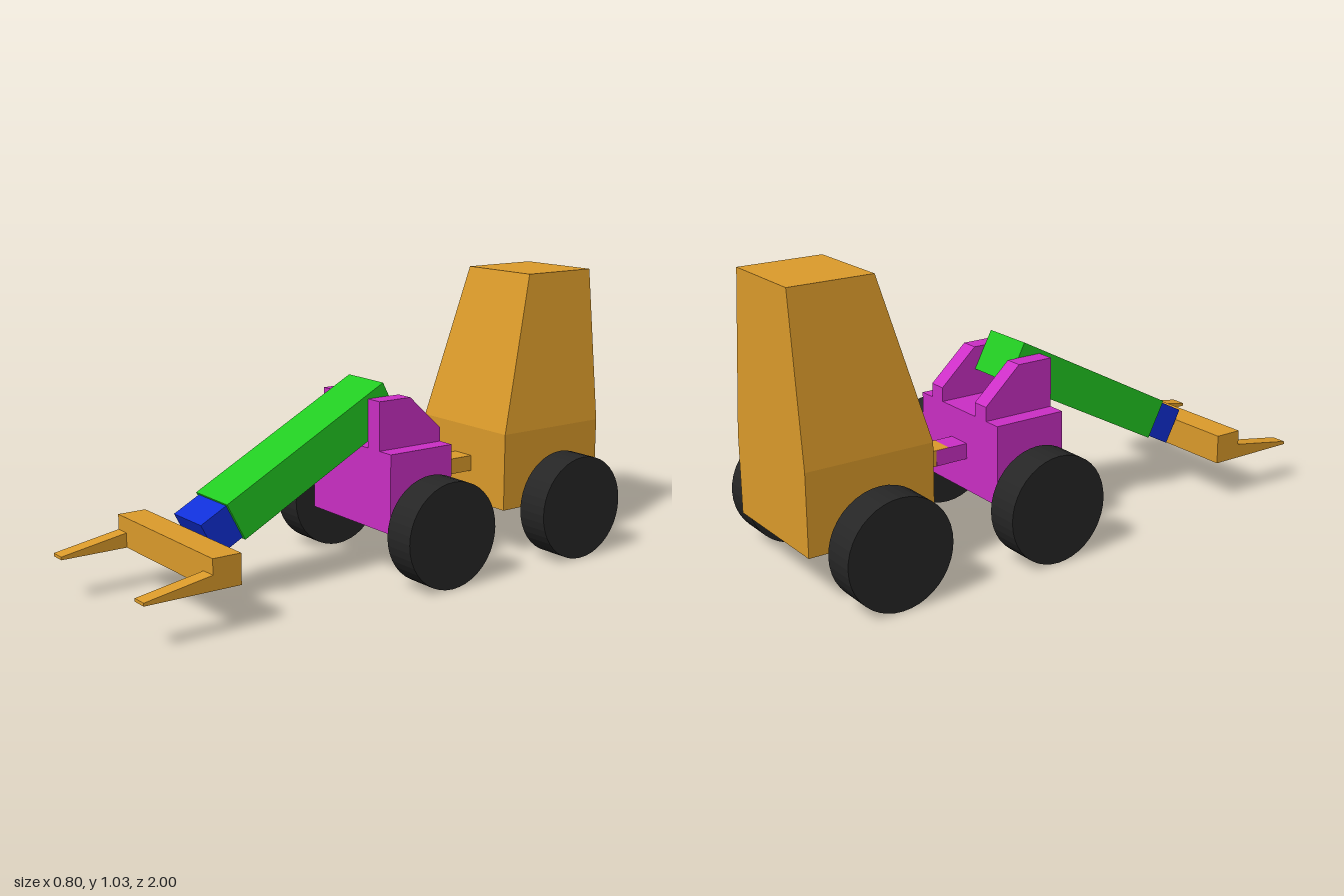
import * as THREE from 'three';

const paint = (color) => new THREE.MeshStandardMaterial({ color, flatShading: true });

export function createModel() {
  const model = new THREE.Group();
  model.name = 'forkTractor';
  const orange = paint(0xdd9c2b), pink = paint(0xcc2fc6), green = paint(0x22cc22);
  const blue = paint(0x1030d8), rubber = paint(0x262626);

  const add = (name, geometry, material, parent = model) => {
    const mesh = new THREE.Mesh(geometry, material);
    mesh.name = name;
    parent.add(mesh);
    return mesh;
  };

  // Box given by its half width in x and its y and z limits
  const box = (name, hx, [y0, y1], [z0, z1], material, parent) => {
    const mesh = add(name, new THREE.BoxGeometry(2 * hx, y1 - y0, z1 - z0), material, parent);
    mesh.position.set(0, (y0 + y1) / 2, (z0 + z1) / 2);
  };

  // Side profile of [z, y] points, extruded from x0 to x1
  const profile = (name, points, x0, x1, material) => {
    const shape = new THREE.Shape(points.map(([z, y]) => new THREE.Vector2(z, y)));
    const geometry = new THREE.ExtrudeGeometry(shape, { depth: x1 - x0, bevelEnabled: false });
    geometry.rotateY(-Math.PI / 2).translate(x1, 0, 0);
    add(name, geometry, material);
  };

  // Cab: straight lower part, tapered upper part with an upright back
  const cab = new THREE.BoxGeometry(2, 2, 2, 1, 2, 1).toNonIndexed();
  const rows = [
    { y: 0.18, x: 0.23, front: -0.535 },
    { y: 0.465, x: 0.23, front: -0.535 },
    { y: 1.033, x: 0.166, front: -0.695 },
  ];
  const p = cab.attributes.position;
  for (let i = 0; i < p.count; i++) {
    const row = rows[Math.round(p.getY(i)) + 1];
    p.setXYZ(i, p.getX(i) * row.x, row.y, p.getZ(i) > 0 ? row.front : -1);
  }
  cab.computeVertexNormals();
  add('cab', cab, orange);

  // Front chassis and the hitch joining it to the cab
  box('frontChassis', 0.23, [0.18, 0.465], [-0.282, -0.01], pink);
  box('frontHitch', 0.046, [0.296, 0.352], [-0.405, -0.28], pink);
  box('rearHitch', 0.045, [0.295, 0.353], [-0.54, -0.355], orange);

  // Cheeks holding the arm, and fork tines, on both sides
  const cheek = [[-0.01, 0.465], [-0.01, 0.64], [-0.145, 0.64], [-0.282, 0.515], [-0.282, 0.465]];
  const tine = [[0.75, 0.152], [1, 0.152], [1, 0.163], [0.75, 0.205]];
  for (const [side, s] of [['left', 1], ['right', -1]]) {
    const span = (a, b) => (s > 0 ? [a, b] : [-b, -a]);
    profile(side + 'Cheek', cheek, ...span(0.1, 0.165), pink);
    profile(side + 'Tine', tine, ...span(0.258, 0.315), orange);

    // Wheels
    for (const [end, z] of [['Front', -0.152], ['Rear', -0.766]]) {
      const wheel = new THREE.CylinderGeometry(0.1915, 0.1915, 0.122, 40).rotateZ(Math.PI / 2);
      add(side + end + 'Wheel', wheel, rubber).position.set(s * 0.339, 0.1915, z);
    }
  }

  // Telescopic arm sloping down to the front
  const arm = new THREE.Group();
  arm.name = 'arm';
  arm.position.set(0, 0.456, 0.2125);
  arm.rotation.x = 0.483;
  model.add(arm);
  box('armSleeve', 0.1, [-0.074, 0.074], [-0.363, 0.363], green, arm);
  box('armExtension', 0.088, [-0.067, 0.067], [0.28, 0.473], blue, arm);

  // Fork crossbar
  box('forkBar', 0.315, [0.152, 0.258], [0.65, 0.755], orange);

  return model;
}
